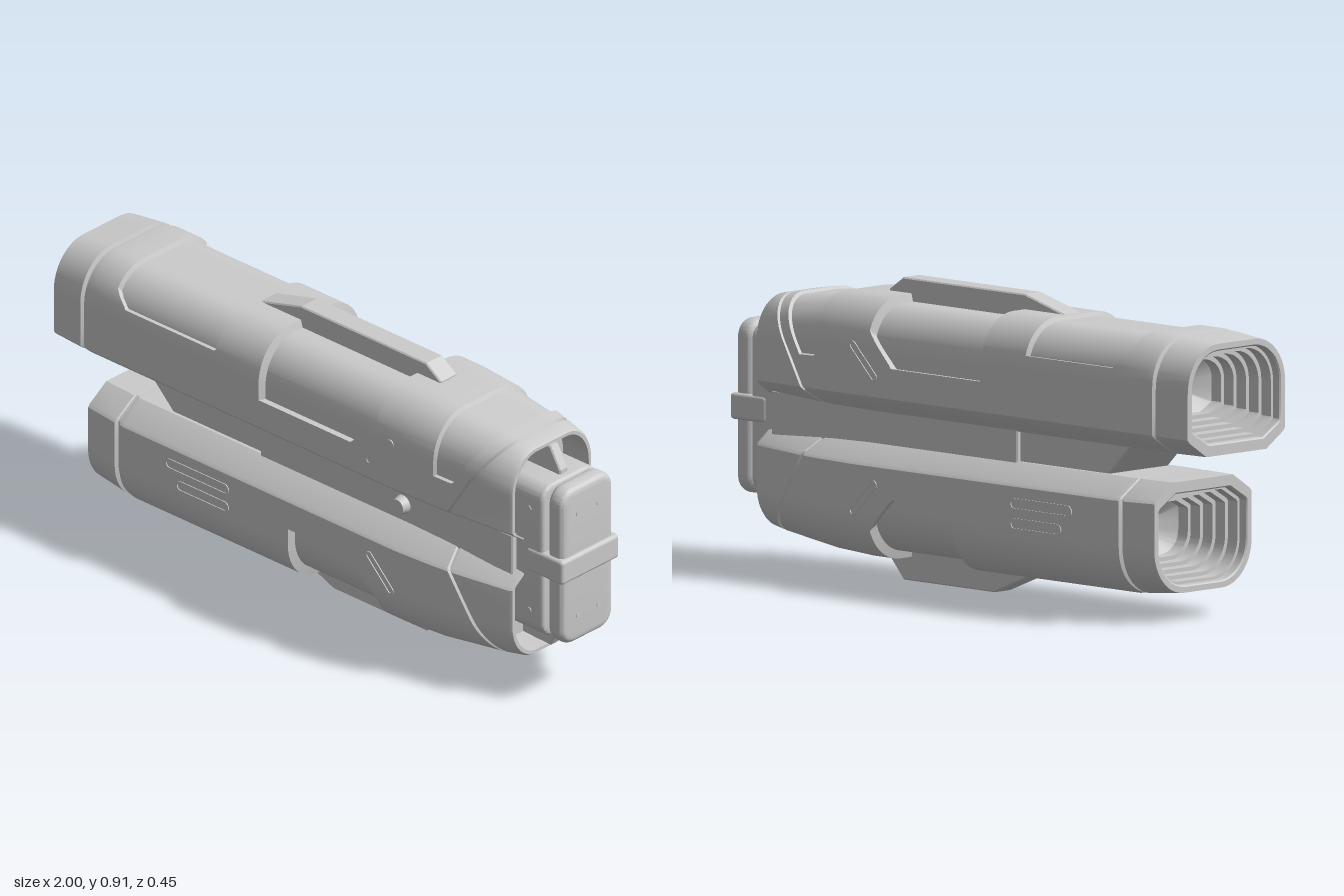
import * as THREE from 'three';
import { toCreasedNormals } from 'three/addons/utils/BufferGeometryUtils.js';
import { RoundedBoxGeometry } from 'three/addons/geometries/RoundedBoxGeometry.js';

const MID = 0.467; // height of the plane between the two barrels
const mat = new THREE.MeshStandardMaterial({ color: 0xcccccc, roughness: 0.6 });
const clamp01 = (v) => Math.min(1, Math.max(0, v));

function add(parent, name, geo, x = 0, y = 0, z = 0) {
  const m = new THREE.Mesh(geo, mat);
  m.name = name;
  m.position.set(x, y, z);
  parent.add(m);
  return m;
}

// D-shaped half section [z, u], u = distance from the mid plane, top centre to bottom centre
function halfSection(thresholds) {
  const pts = [[0, 0.395], [0.05, 0.395]];
  for (let i = 0; i <= 12; i++) {
    const a = Math.PI / 2 * (1 - i / 12);
    pts.push([0.085 + 0.135 * Math.cos(a), 0.25 + 0.145 * Math.sin(a)]);
  }
  pts.push([0.22, 0.105], [0.212, 0.095], [0.135, 0.045], [0, 0.045]);
  for (const t of thresholds) {
    for (const u of [t + 0.004, t - 0.004]) {
      const k = pts.findIndex((p) => p[1] < u);
      const [a, b] = [pts[k - 1], pts[k]];
      const f = (a[1] - u) / (a[1] - b[1]);
      pts.splice(k, 0, [a[0] + (b[0] - a[0]) * f, u]);
    }
  }
  return pts;
}

// Inset of the outer skin along the length
function skin(x, stations) {
  for (let i = 1; i < stations.length; i++) {
    const [x0, d0] = stations[i - 1], [x1, d1] = stations[i];
    if (x <= x1) return d0 + (d1 - d0) * clamp01((x - x0) / (x1 - x0));
  }
  return stations[stations.length - 1][1];
}

const vLine = (u) => 0.58 + 0.58 * Math.max(0, u - 0.055);
const pocketEnd = (u) => 0.325 - 0.095 * clamp01((0.3 - u) / 0.1);
const panelFront = (u) => -0.75 + 0.05 * clamp01((0.335 - u) / 0.04);
const panelEnd = (u) => Math.max(vLine(u) - 0.04, 0.57);

// Sunken field: four columns that drop to depth d where u is above uMin
function recess(x0, x1, d, uMin, w = 0.006) {
  return [
    { x: x0, d: 0 },
    { x: (u) => x0(u) + w, d, uMin },
    { x: (u) => x1(u) - w, d, uMin },
    { x: x1, d: 0 },
  ];
}

// One barrel skin: stepped bore, muzzle cap, body with recesses, open rear
function barrel(sign, muzzle, capLength, pocketStart, frontPanel, rearPanel) {
  const capEnd = muzzle + capLength;
  const stations = [[muzzle, 0.015], [capEnd, 0.003], [capEnd + 0.004, 0.015],
    [capEnd + 0.014, 0.015], [capEnd + 0.018, 0.004], [capEnd + 0.04, 0],
    [0.4, 0], [0.55, 0.008], [0.7, 0.022], [0.84, 0.046]];
  const cols = [];
  const inner = (x, d) => cols.push({ x: () => x, abs: d, c: 0.22 });
  inner(muzzle + 0.3, 0.22);
  for (let i = 4; i >= 0; i--) {
    const d = 0.045 + i * 0.012;
    inner(muzzle + 0.03 + (i + 1) * 0.04, d);
    inner(muzzle + 0.03 + i * 0.04, d);
  }
  inner(muzzle + 0.03, 0.036);
  inner(muzzle + 0.004, 0.036);
  inner(muzzle, 0.032);
  inner(muzzle, 0.018);
  const plain = (x) => cols.push({ x: () => x, d: 0 });
  stations.slice(0, 6).forEach((s) => plain(s[0]));
  if (frontPanel) cols.push(...recess(panelFront, () => -0.33, 0.013, 0.295));
  cols.push(...recess(() => pocketStart, pocketEnd, 0.024, 0.2));
  plain(0.4);
  plain(0.55);
  if (rearPanel) cols.push(...recess(() => 0.555, panelEnd, 0.01, 0.21));
  cols.push(...recess(vLine, (u) => vLine(u) + 0.014, 0.008, 0, 0.004));
  plain(0.83);
  cols.push({ x: () => 0.84, abs: 0.05 }, { x: () => 0.84, abs: 0.06 },
    { x: () => 0.74, abs: 0.065 }, { x: () => 0.74, abs: 0.22, c: 0.22 });

  const half = halfSection([0.295, 0.2, 0.21]);
  half.sort((a, b) => b[1] - a[1] || 0);
  const ring = [...half, ...half.slice(1, -1).reverse().map(([z, u]) => [-z, u])];
  const n = ring.length, pos = [], idx = [];
  for (const col of cols) {
    for (const [z, u] of ring) {
      const x = col.x(u), c = col.c ?? 0.05;
      const d = col.abs ?? skin(x, stations) + (u > (col.uMin ?? 0) ? col.d : 0);
      const su = Math.max(0, 1 - d / (0.395 - c));
      pos.push(x, MID + sign * (c + (u - c) * su), z * Math.max(0, 1 - d / 0.22));
    }
  }
  for (let i = 0; i < cols.length - 1; i++) {
    for (let j = 0; j < n; j++) {
      const a = i * n + j, b = i * n + (j + 1) % n, c = a + n, d = b + n;
      if (sign > 0) idx.push(a, b, c, b, d, c);
      else idx.push(a, c, b, b, c, d);
    }
  }
  const g = new THREE.BufferGeometry();
  g.setAttribute('position', new THREE.Float32BufferAttribute(pos, 3));
  g.setIndex(idx);
  return toCreasedNormals(g, 0.5);
}

// Side outline in x, y extruded across z and centred
function plate(points, width, bevel = 0.004) {
  const s = new THREE.Shape(points.map(([x, y]) => new THREE.Vector2(x, y)));
  const g = new THREE.ExtrudeGeometry(s, { depth: width - 2 * bevel, bevelThickness: bevel,
    bevelSize: bevel, bevelOffset: -bevel, bevelSegments: 1 });
  return g.translate(0, 0, -width / 2 + bevel);
}

function capsulePath(path, l, r) {
  path.absarc(l / 2 - r, 0, r, -Math.PI / 2, Math.PI / 2, false);
  path.absarc(-l / 2 + r, 0, r, Math.PI / 2, Math.PI * 1.5, false);
  path.closePath();
  return path;
}

// Thin raised frame of a vent slot
function slotFrame(l, r) {
  const s = capsulePath(new THREE.Shape(), l, r);
  s.holes.push(capsulePath(new THREE.Path(), l - 0.012, r - 0.006));
  return new THREE.ExtrudeGeometry(s, { depth: 0.012, bevelEnabled: false, curveSegments: 8 });
}

// Rounded slab facing +x
function slab(h, w, r, depth, bevel) {
  const s = new THREE.Shape(), a = w / 2 - r, b = h / 2 - r;
  s.absarc(a, b, r, 0, Math.PI / 2);
  s.absarc(-a, b, r, Math.PI / 2, Math.PI);
  s.absarc(-a, -b, r, Math.PI, Math.PI * 1.5);
  s.absarc(a, -b, r, Math.PI * 1.5, Math.PI * 2);
  const g = new THREE.ExtrudeGeometry(s, { depth: depth - 2 * bevel, bevelThickness: bevel,
    bevelSize: bevel, bevelOffset: -bevel, bevelSegments: 5, curveSegments: 8 });
  return toCreasedNormals(g.translate(0, 0, bevel).rotateY(Math.PI / 2), 0.6);
}

export function createModel() {
  const model = new THREE.Group();
  model.name = 'twinBarrelModule';

  // Barrels
  add(model, 'upperBarrel', barrel(1, -1, 0.12, -0.15, true, true));
  add(model, 'lowerBarrel', barrel(-1, -0.86, 0.12, -0.03, false, false));

  // Bridge between the barrels, with a thinner sloped nose
  add(model, 'bridge', plate([[-0.22, 0.4], [0.81, 0.4], [0.81, 0.534], [-0.22, 0.534]], 0.28));
  add(model, 'bridgeNose', plate([[-0.58, 0.41], [-0.2, 0.41], [-0.2, 0.53], [-0.7, 0.53]], 0.25));

  // Top and bottom fins
  add(model, 'topFin', plate([[-0.33, 0.82], [0.42, 0.82], [0.42, 0.866], [0.36, 0.907],
    [-0.15, 0.907], [-0.33, 0.858]], 0.072));
  add(model, 'bottomFin', plate([[-0.2, 0.11], [-0.2, 0.074], [-0.02, 0], [0.36, 0],
    [0.42, 0.067], [0.42, 0.11]], 0.072));

  // Vent slots on both sides
  for (const side of [1, -1]) {
    const slots = [['upperSlot', 0.15, 0.345, 0.675, Math.PI / 4], ['lowerSlot', 0.15, 0.345, 0.265, -Math.PI / 4],
      ['longVent', 0.26, -0.4, 0.31, 0], ['shortVent', 0.215, -0.378, 0.25, 0]];
    for (const [name, l, x, y, turn] of slots) {
      const m = add(model, name, slotFrame(l, name.endsWith('Vent') ? 0.018 : 0.014), x, y, side > 0 ? 0.211 : -0.223);
      m.rotation.z = turn;
    }
  }

  // Side button
  const button = add(model, 'sideButton', new THREE.CylinderGeometry(0.024, 0.031, 0.03, 24), 0.365, 0.474, 0.151);
  button.rotation.x = Math.PI / 2;

  // Rear block, centre rib, end plate and strap
  add(model, 'rearBlock', slab(0.51, 0.24, 0.05, 0.19, 0.012), 0.725, MID, 0);
  add(model, 'rearRib', plate([[0.72, 0.13], [0.85, 0.13], [0.89, 0.2], [0.89, 0.735],
    [0.85, 0.804], [0.72, 0.804]], 0.036));
  add(model, 'rearCore', slab(0.44, 0.16, 0.04, 0.05, 0.004), 0.89, MID, 0);
  add(model, 'endPlate', slab(0.525, 0.226, 0.055, 0.063, 0.022), 0.925, MID, 0);
  add(model, 'strap', new RoundedBoxGeometry(0.15, 0.08, 0.25, 3, 0.012), 0.925, MID, 0);

  // Bolts on the end plate and the block sides
  const bolt = new THREE.CylinderGeometry(0.008, 0.008, 0.006, 16);
  for (const y of [0.64, 0.296]) {
    for (const side of [1, -1]) {
      add(model, 'endBolt', bolt, 0.987, y, side * 0.045).rotation.z = Math.PI / 2;
      add(model, 'sideBolt', bolt, 0.862, y, side * 0.12).rotation.x = Math.PI / 2;
    }
  }
  return model;
}
